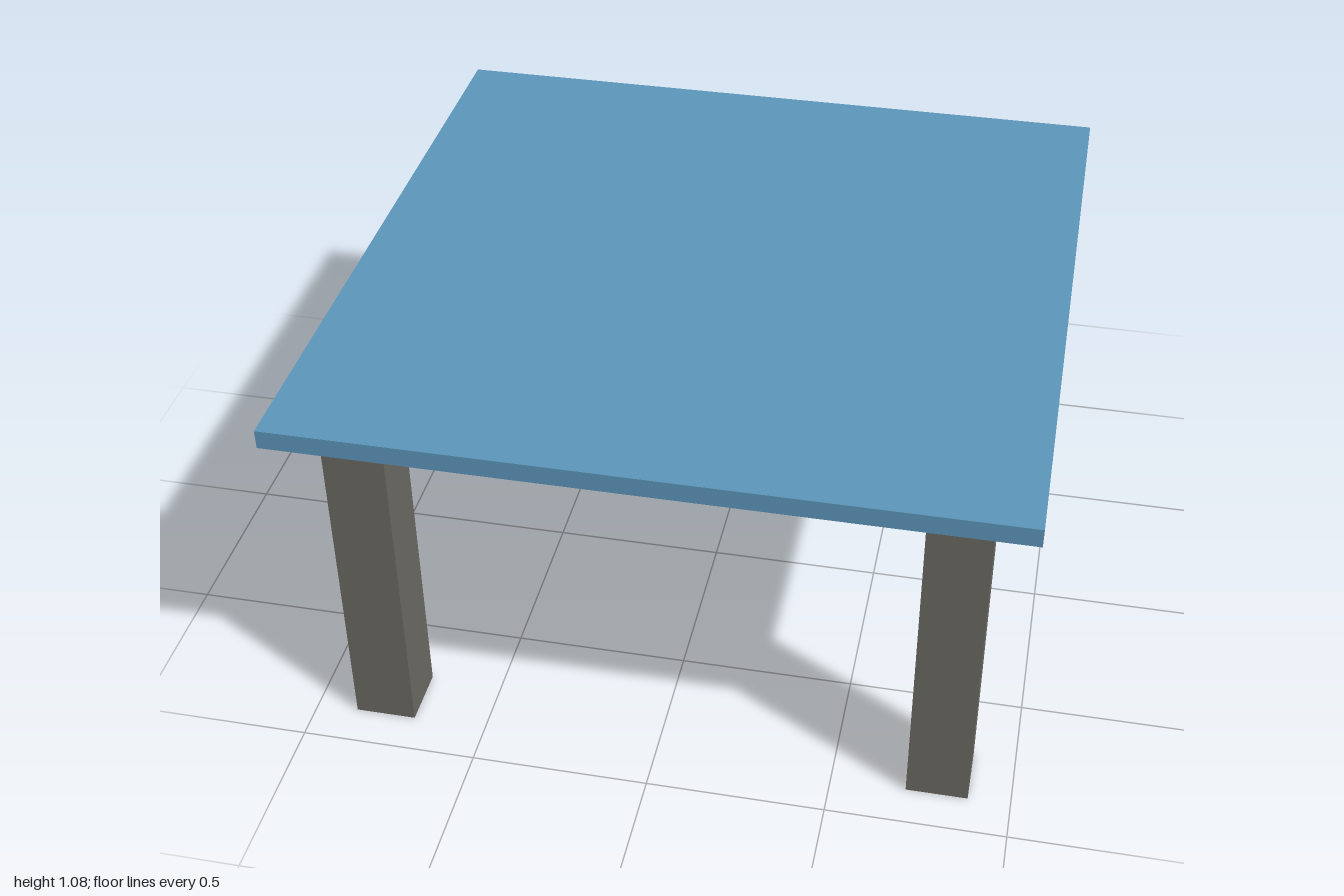
import * as THREE from 'three';

export function createModel() {
  const table = new THREE.Group();
  table.name = 'table';

  const blue = new THREE.MeshStandardMaterial({ color: 0x5c96ba });
  blue.name = 'blue top';
  const grey = new THREE.MeshStandardMaterial({ color: 0x6a6962 });
  grey.name = 'warm grey legs';

  const legHeight = 1.03;
  const topThickness = 0.054;

  // Thin square slab
  const top = new THREE.Mesh(new THREE.BoxGeometry(2, topThickness, 2), blue);
  top.name = 'tableTop';
  top.position.y = legHeight + topThickness / 2;
  table.add(top);

  // Four square legs; the back left one sits slightly further in
  const legGeometry = new THREE.BoxGeometry(0.172, legHeight, 0.172);
  for (const [side, sx] of [['Left', 1], ['Right', -1]]) {
    for (const [end, sz] of [['front', 1], ['back', -1]]) {
      const inset = sx > 0 && sz < 0 ? 0.79 : 0.796;
      const leg = new THREE.Mesh(legGeometry, grey);
      leg.name = `${end}${side}Leg`;
      leg.position.set(sx * inset, legHeight / 2, sz * inset);
      table.add(leg);
    }
  }

  return table;
}
